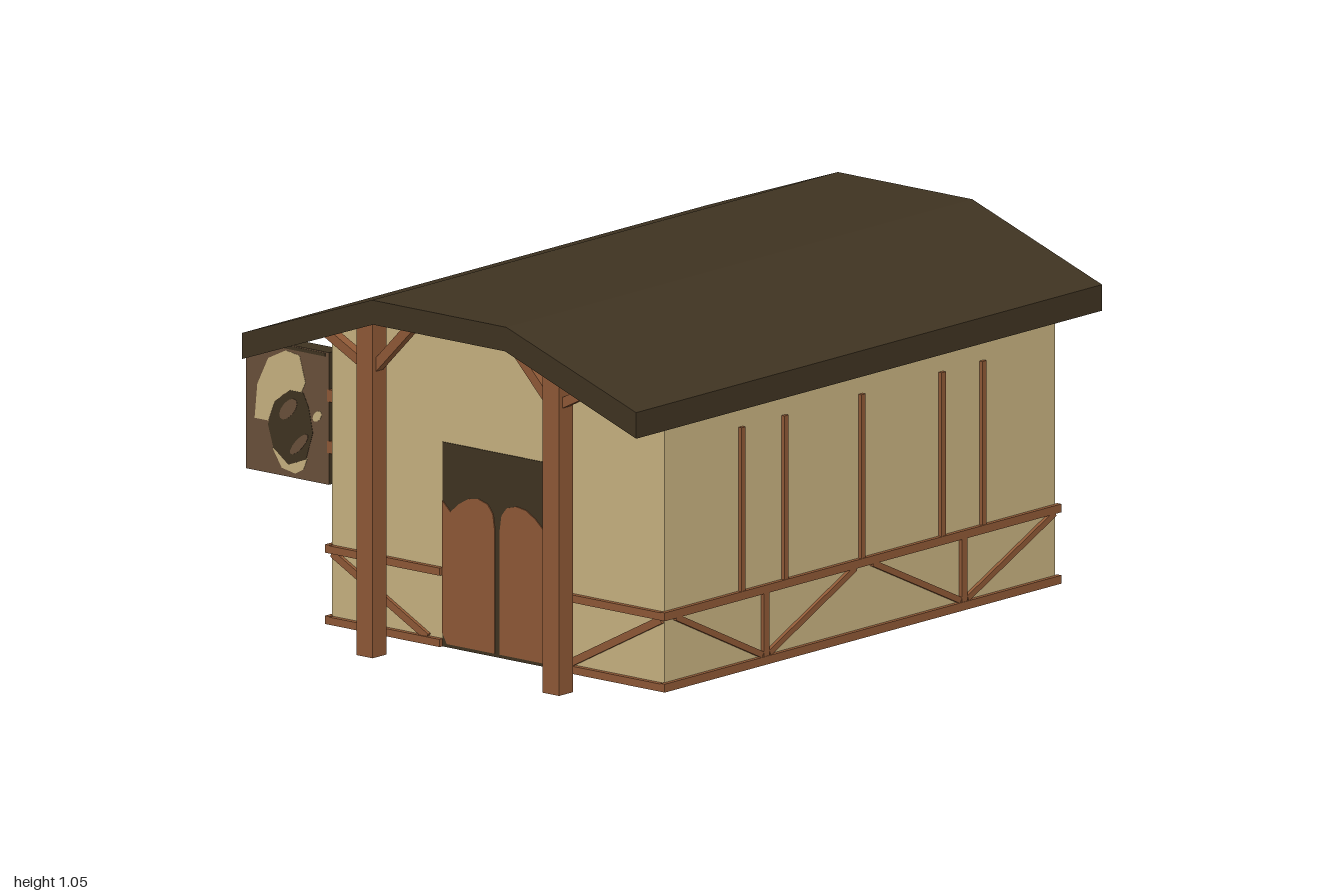
import * as THREE from 'three';

const flat = (name, color) => {
  const m = new THREE.MeshStandardMaterial({ color });
  m.name = name;
  return m;
};

export function createModel() {
  const plaster = flat('plaster', 0xc8b280);
  const timber = flat('timber', 0x8f5936);
  const dark = flat('darkWood', 0x3f3321);
  const board = flat('signWood', 0x69503a);

  const model = new THREE.Group();
  model.name = 'tavern';
  const house = new THREE.Group();
  house.name = 'house';
  house.position.x = 0.161;
  model.add(house);

  const add = (parent, name, geo, mat, x = 0, y = 0, z = 0) => {
    const m = new THREE.Mesh(geo, mat);
    m.name = name;
    m.position.set(x, y, z);
    parent.add(m);
    return m;
  };
  const shapeOf = (pts) => new THREE.Shape(pts.map(([x, y]) => new THREE.Vector2(x, y)));
  const extrude = (pts, depth) =>
    new THREE.ExtrudeGeometry(shapeOf(pts), { depth, bevelEnabled: false });

  // beam between two points of a wall; u runs along x, or along z when side is true
  const beam = (name, [u1, v1], [u2, v2], thick, depth, at, side = false) => {
    const len = Math.hypot(u2 - u1, v2 - v1);
    const geo = new THREE.BoxGeometry(len, thick, depth);
    geo.rotateZ(Math.atan2(v2 - v1, u2 - u1));
    const u = (u1 + u2) / 2, v = (v1 + v2) / 2;
    if (side) geo.rotateY(-Math.PI / 2);
    return add(house, name, geo, timber, side ? at : u, v, side ? u : at);
  };

  // walls
  add(house, 'walls', extrude([
    [-0.612, 0.02], [0.612, 0.02], [0.612, 0.865], [0.2475, 0.995], [-0.2475, 0.995], [-0.612, 0.865],
  ], 1.675), plaster, 0, 0, -0.93);

  // lower back wall, bulging outward at the foot
  const bulge = new THREE.BoxGeometry(1.224, 0.58, 0.02, 3, 1, 1);
  const p = bulge.attributes.position;
  for (let i = 0; i < p.count; i++) {
    if (p.getZ(i) < 0 && p.getY(i) < 0 && Math.abs(p.getX(i)) < 0.5) p.setZ(i, p.getZ(i) - 0.035);
  }
  const bulgeFlat = bulge.toNonIndexed();
  bulgeFlat.computeVertexNormals();
  add(house, 'backWallFoot', bulgeFlat, plaster, 0, 0.31, -0.92);

  // three-slope roof
  add(house, 'roof', extrude([
    [-0.7255, 0.81], [-0.243, 0.985], [0.243, 0.985], [0.7255, 0.81],
    [0.7255, 0.885], [0.2475, 1.055], [-0.2475, 1.055], [-0.7255, 0.885],
  ], 2), dark, 0, 0, -1);

  // doorway and swing doors
  add(house, 'doorway', new THREE.BoxGeometry(0.408, 0.588, 0.004), dark, 0, 0.314, 0.746);
  const leaf = [
    [0.01, 0.03], [0.185, 0.03], [0.202, 0.06], [0.202, 0.44], [0.172, 0.412], [0.14, 0.44],
    [0.105, 0.46], [0.07, 0.465], [0.035, 0.455], [0.016, 0.43], [0.01, 0.39],
  ];
  for (const s of [-1, 1]) {
    const pts = leaf.map(([x, y]) => [s * x, y]);
    add(house, s < 0 ? 'rightDoor' : 'leftDoor', extrude(pts, 0.004), timber, 0, 0, 0.747);
  }

  for (const s of [-1, 1]) {
    // porch post with two braces
    add(house, 'porchPost', new THREE.BoxGeometry(0.06, 0.965, 0.06), timber, s * 0.343, 0.4825, 0.89);
    beam('innerBrace', [s * 0.325, 0.83], [s * 0.165, 0.995], 0.028, 0.03, 0.89);
    beam('outerBrace', [s * 0.343, 0.825], [s * 0.55, 0.93], 0.028, 0.03, 0.89);

    // front wall framing
    for (const y of [0.031, 0.236]) {
      beam('frontRail', [s * 0.204, y], [s * 0.624, y], 0.022, 0.016, 0.752);
    }
    beam('frontDiagonal', [s * 0.605, 0.225], [s * 0.255, 0.04], 0.022, 0.012, 0.75);

    // side wall framing
    const at = s * 0.617;
    for (const y of [0.032, 0.237]) {
      beam('sideRail', [-0.943, y], [0.76, y], 0.024, 0.016, at, true);
    }
    for (const z of [0.42, 0.235, -0.095, -0.44, -0.615]) {
      beam('sideStud', [z, 0.24], [z, 0.72], 0.018, 0.012, at, true);
    }
    for (const [z, reach] of [[0.32, 0.385], [-0.53, 0.39]]) {
      beam('lowerStud', [z, 0.035], [z, 0.235], 0.022, 0.012, at, true);
      for (const d of [-1, 1]) {
        beam('sideDiagonal', [z + d * 0.015, 0.05], [z + d * reach, 0.226], 0.018, 0.012, at, true);
      }
    }
  }

  // hanging sign on two arms
  const sign = new THREE.Group();
  sign.name = 'sign';
  sign.position.set(-0.7375, 0.562, 0.575);
  model.add(sign);
  add(sign, 'signBoard', new THREE.BoxGeometry(0.305, 0.38, 0.056),
    [dark, dark, dark, dark, board, board]);
  for (const y of [0.066, -0.082]) {
    add(sign, 'signArm', new THREE.BoxGeometry(0.15, 0.035, 0.056), timber, 0.22, y, 0);
  }

  // painted patches, repeated on both faces of the sign
  const oval = (cx, cy, a, b) => Array.from({ length: 12 }, (_, i) => {
    const t = (i / 12) * Math.PI * 2, u = a * Math.cos(t), v = b * Math.sin(t);
    return [cx + (u - v) * 0.707, cy + (u + v) * 0.707];
  });
  const patches = [
    ['paleCrescent', plaster, 0.028, [
      [-0.12, -0.04], [-0.11, 0.06], [-0.07, 0.14], [-0.005, 0.172], [0.045, 0.165], [0.067, 0.09],
      [0.05, 0.055], [0.024, 0.06], [-0.015, 0.045], [-0.05, 0.01], [-0.07, -0.04],
    ]],
    ['paleLowerPatch', plaster, 0.028, [
      [-0.055, -0.115], [0.005, -0.14], [0.075, -0.125], [0.06, -0.16], [0.03, -0.177], [-0.02, -0.168],
    ]],
    ['palePatch', plaster, 0.028, oval(0.11, 0.0, 0.02, 0.012)],
    ['darkPatch', dark, 0.029, [
      [-0.045, 0.02], [0.01, 0.06], [0.06, 0.06], [0.08, 0.02], [0.095, -0.05], [0.07, -0.13],
      [0.005, -0.155], [-0.05, -0.115], [-0.07, -0.05],
    ]],
    ['darkTopStrip', dark, 0.028, [[-0.1, 0.177], [0.14, 0.177], [0.14, 0.187], [-0.1, 0.187]]],
    ['upperSlit', board, 0.03, oval(0.005, 0.005, 0.042, 0.02)],
    ['lowerSlit', board, 0.03, oval(0.045, -0.09, 0.045, 0.014)],
  ];
  for (const turn of [0, Math.PI]) {
    const face = new THREE.Group();
    face.name = turn ? 'signBackPainting' : 'signFrontPainting';
    face.rotation.y = turn;
    sign.add(face);
    for (const [name, mat, z, pts] of patches) add(face, name, extrude(pts, 0.001), mat, 0, 0, z);
  }

  return model;
}
